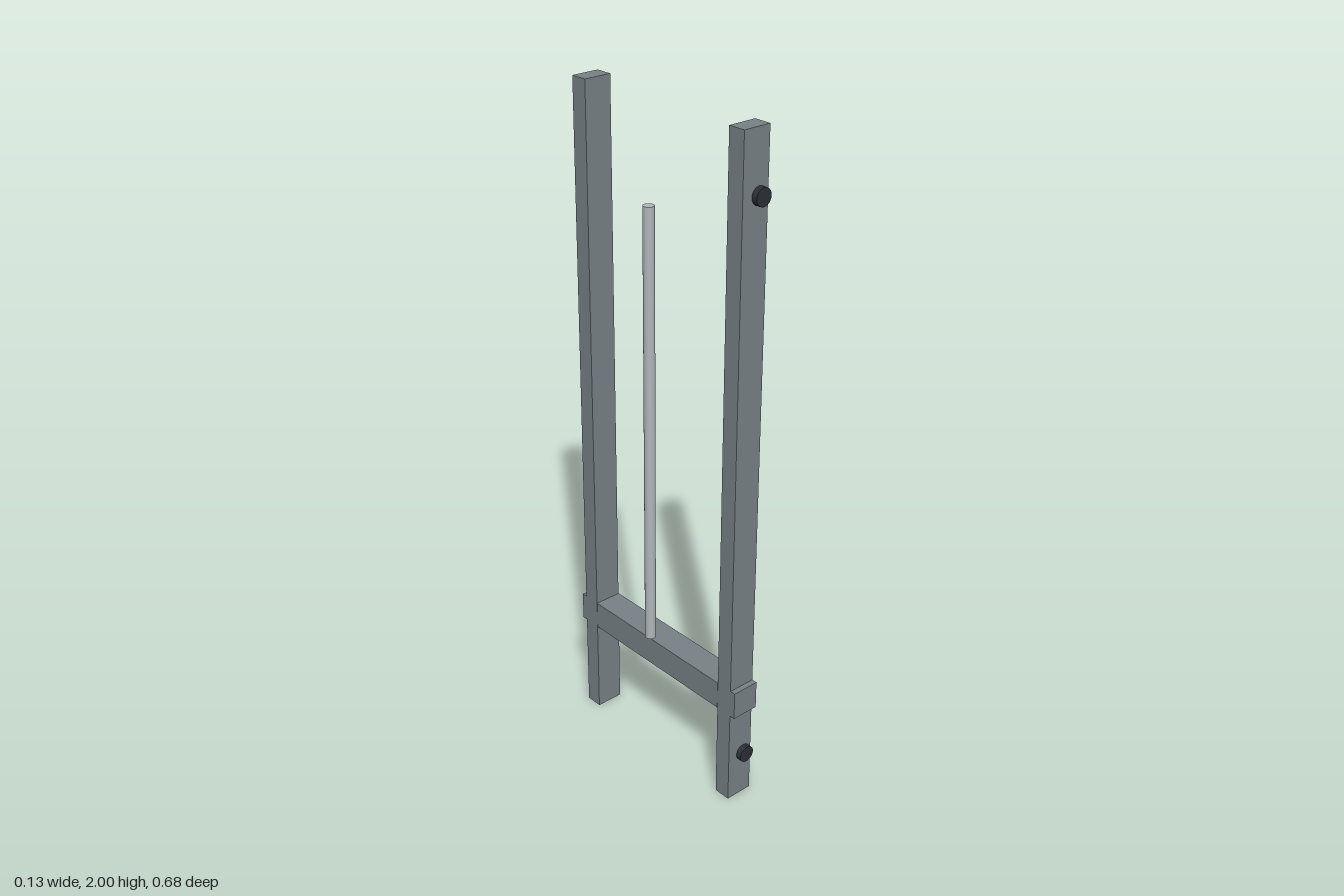
import * as THREE from 'three';

const material = (name, color) => {
  const m = new THREE.MeshStandardMaterial({ color });
  m.name = name;
  return m;
};

export function createModel() {
  const group = new THREE.Group();
  const frame = material('frame grey', 0x788287);
  const strip = material('strip silver', 0xa9b4bc);
  const steel = material('rod steel', 0xb0b6ba);
  const dark = material('bolt black', 0x2b3036);

  const add = (name, geometry, mat, x, y, z) => {
    const mesh = new THREE.Mesh(geometry, mat);
    mesh.name = name;
    mesh.position.set(x, y, z);
    group.add(mesh);
    return mesh;
  };

  // Crossbar between the posts
  add('crossbar', new THREE.BoxGeometry(0.085, 0.086, 0.54), frame, 0.0125, 0.343, 0);

  for (const side of [1, -1]) {
    // Upright post with a slim strip on its left face
    add('post', new THREE.BoxGeometry(0.085, 2, 0.052), frame, 0.0125, 1, side * 0.297);
    add('strip', new THREE.BoxGeometry(0.008, 1.91, 0.03), strip, 0.059, 1.003, side * 0.297);
    // End of the crossbar standing proud of the post
    add('crossbarEnd', new THREE.BoxGeometry(0.085, 0.086, 0.017), frame, 0.0125, 0.343, side * 0.3315);
    // Bolt heads on the outer face
    for (const y of [0.145, 1.828]) {
      const bolt = add('bolt', new THREE.CylinderGeometry(0.025, 0.025, 0.017, 24), dark, 0.025, y, side * 0.3315);
      bolt.rotation.x = Math.PI / 2;
    }
  }

  // Vertical handle rod
  add('rod', new THREE.CylinderGeometry(0.016, 0.016, 1.32, 24), steel, -0.048, 1.075, 0);

  return group;
}
